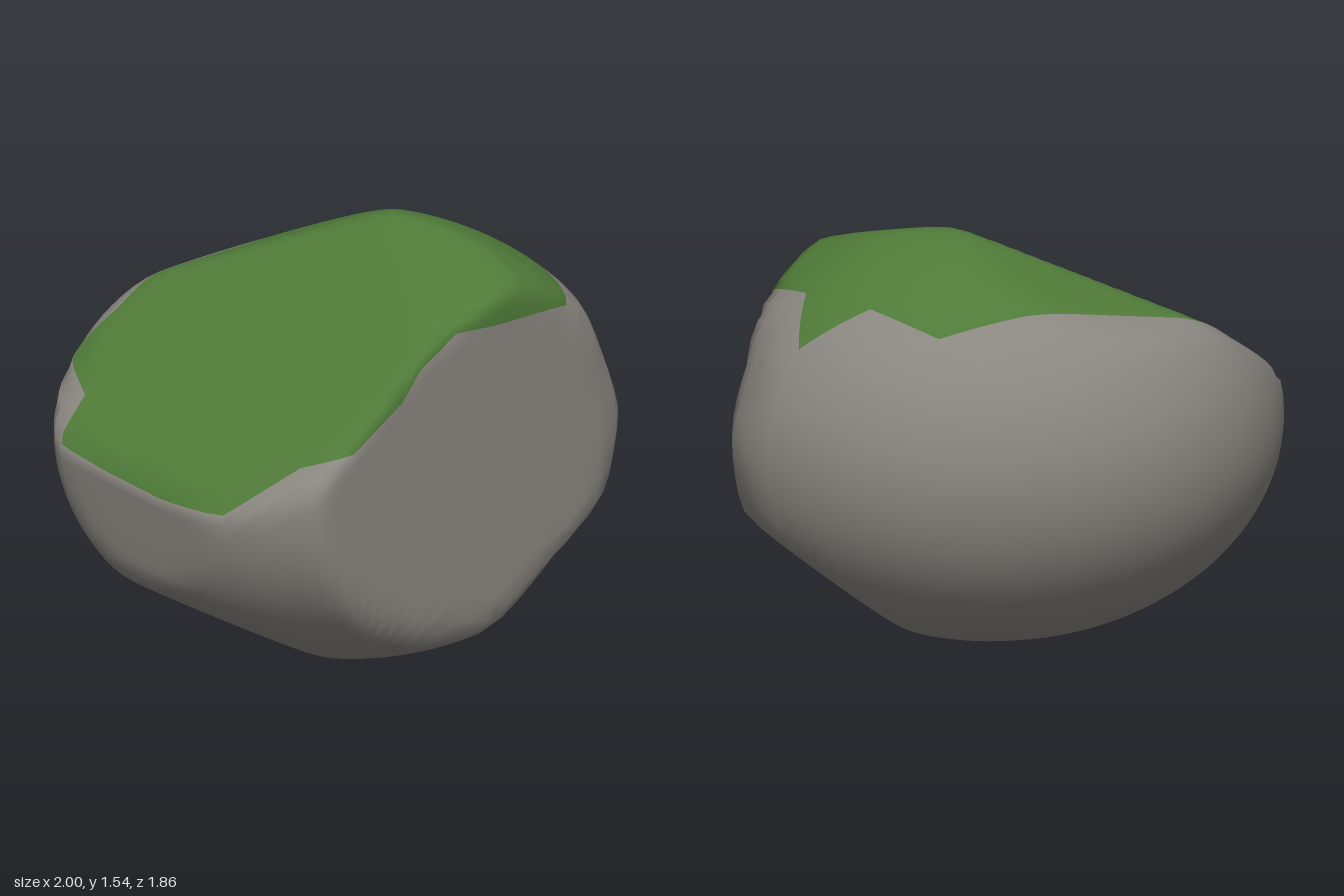
import * as THREE from 'three';

const CENTRE = new THREE.Vector3(0, 0.78, 0);

// Flat cuts through the boulder: a point p is kept while n.p <= d
const CUTS = [
  { n: new THREE.Vector3(0.768, 0, 0.64), d: 0.627 },       // upright split face, front left
  { n: new THREE.Vector3(-0.47, 1, 0.52), d: 1.36 },        // sloping mossy top
  { n: new THREE.Vector3(0, 1, 0.4), d: 1.48 },             // crown between moss and split face
  { n: new THREE.Vector3(0, 1, 0.96), d: 1.76 },            // lower rim of the split face
  { n: new THREE.Vector3(-0.33, 1, -0.25), d: 1.55 },       // shoulder behind the moss ridge
  { n: new THREE.Vector3(-0.73, -0.1, 0.685), d: 0.785 },   // flank below the low moss edge
  { n: new THREE.Vector3(-0.35, -0.87, 0.35), d: 0.095 },   // underside of that flank
  { n: new THREE.Vector3(1, 0.33, -0.2), d: 1.335 },        // upper left flank
  { n: new THREE.Vector3(1, -0.24, -0.2), d: 0.885 },       // lower left flank
  { n: new THREE.Vector3(0.77, -1, -0.2), d: 0.29 },        // undercut below the split face
  { n: new THREE.Vector3(0, -1, 0), d: 0 },                 // resting face
];

// Ragged lower edge of the moss, walked round from the right side by the back
const MOSS_EDGE = [
  [-0.93, 0.98, -0.16], [-0.79, 1.13, -0.28], [-0.6, 1.25, -0.4], [-0.35, 1.3, -0.52],
  [-0.03, 1.33, -0.63], [0.29, 1.28, -0.69], [0.55, 1.37, -0.53], [0.79, 1.19, -0.47],
  [0.73, 1.33, -0.26], [0.78, 1.24, -0.03], [0.6, 1.28, 0.25], [0.48, 1.3, 0.4],
  [0.36, 1.2, 0.53], [0.3, 1.1, 0.6], [0.15, 0.97, 0.8], [-0.04, 0.91, 0.77],
  [-0.29, 0.75, 0.8], [-0.55, 0.73, 0.65], [-0.77, 0.75, 0.43], [-0.93, 0.78, 0.22],
  [-0.87, 0.91, 0.06],
].map((p) => new THREE.Vector3(...p));

// Distance from the centre to the surface: an ellipsoid softly blended with the cuts
function surfaceRadius(dir) {
  const ax = 1.04, ay = 0.8, az = 0.93, shift = 0.04;
  const a = (dir.x / ax) ** 2 + (dir.y / ay) ** 2 + (dir.z / az) ** 2;
  const b = (dir.x * shift) / ax ** 2;
  const c = (shift / ax) ** 2 - 1;
  const p = 65;
  let sum = ((b + Math.sqrt(b * b - a * c)) / a) ** -p;
  for (const { n, d } of CUTS) {
    const facing = n.dot(dir);
    if (facing > 0.01) sum += ((d - n.dot(CENTRE)) / facing) ** -p;
  }
  return sum ** (-1 / p);
}

export function createModel() {
  const SUB = 5, MOSS_RINGS = 20, ROCK_RINGS = 30;
  const columns = MOSS_EDGE.length * SUB;
  const rings = MOSS_RINGS + ROCK_RINGS;

  // One direction per column, aimed at the moss edge
  const aims = [];
  MOSS_EDGE.forEach((p, i) => {
    const next = MOSS_EDGE[(i + 1) % MOSS_EDGE.length];
    for (let s = 0; s < SUB; s++) {
      aims.push(p.clone().lerp(next, s / SUB).sub(CENTRE).normalize());
    }
  });

  // Rings run from the top pole to the moss edge, then on to the bottom pole
  const positions = [];
  for (let i = 0; i <= rings; i++) {
    for (const aim of aims) {
      const edge = Math.acos(aim.y);
      const polar = i <= MOSS_RINGS
        ? (edge * i) / MOSS_RINGS
        : edge + ((Math.PI - edge) * (i - MOSS_RINGS)) / ROCK_RINGS;
      const around = Math.atan2(aim.x, aim.z);
      const dir = new THREE.Vector3().setFromSphericalCoords(1, polar, around);
      positions.push(...dir.multiplyScalar(surfaceRadius(dir)).add(CENTRE).toArray());
    }
  }

  const bandIndex = (from, to) => {
    const index = [];
    for (let i = from; i < to; i++) {
      for (let j = 0; j < columns; j++) {
        const k = (j + 1) % columns;
        const a = i * columns + j, b = i * columns + k;
        const c = a + columns, d = b + columns;
        if (i > 0) index.push(a, b, d);
        if (i < rings - 1) index.push(a, d, c);
      }
    }
    return index;
  };

  // Shared normals keep the shading continuous across the moss edge
  const whole = new THREE.BufferGeometry();
  whole.setAttribute('position', new THREE.Float32BufferAttribute(positions, 3));
  whole.setIndex(bandIndex(0, rings));
  whole.computeVertexNormals();

  const group = new THREE.Group();
  group.name = 'mossyBoulder';
  const addPart = (name, from, to, color) => {
    const geometry = whole.clone();
    geometry.setIndex(bandIndex(from, to));
    const mesh = new THREE.Mesh(geometry, new THREE.MeshStandardMaterial({ color }));
    mesh.name = name;
    group.add(mesh);
  };
  addPart('moss', 0, MOSS_RINGS, 0x4f7a38);
  addPart('rock', MOSS_RINGS, rings, 0x8a8680);
  return group;
}
